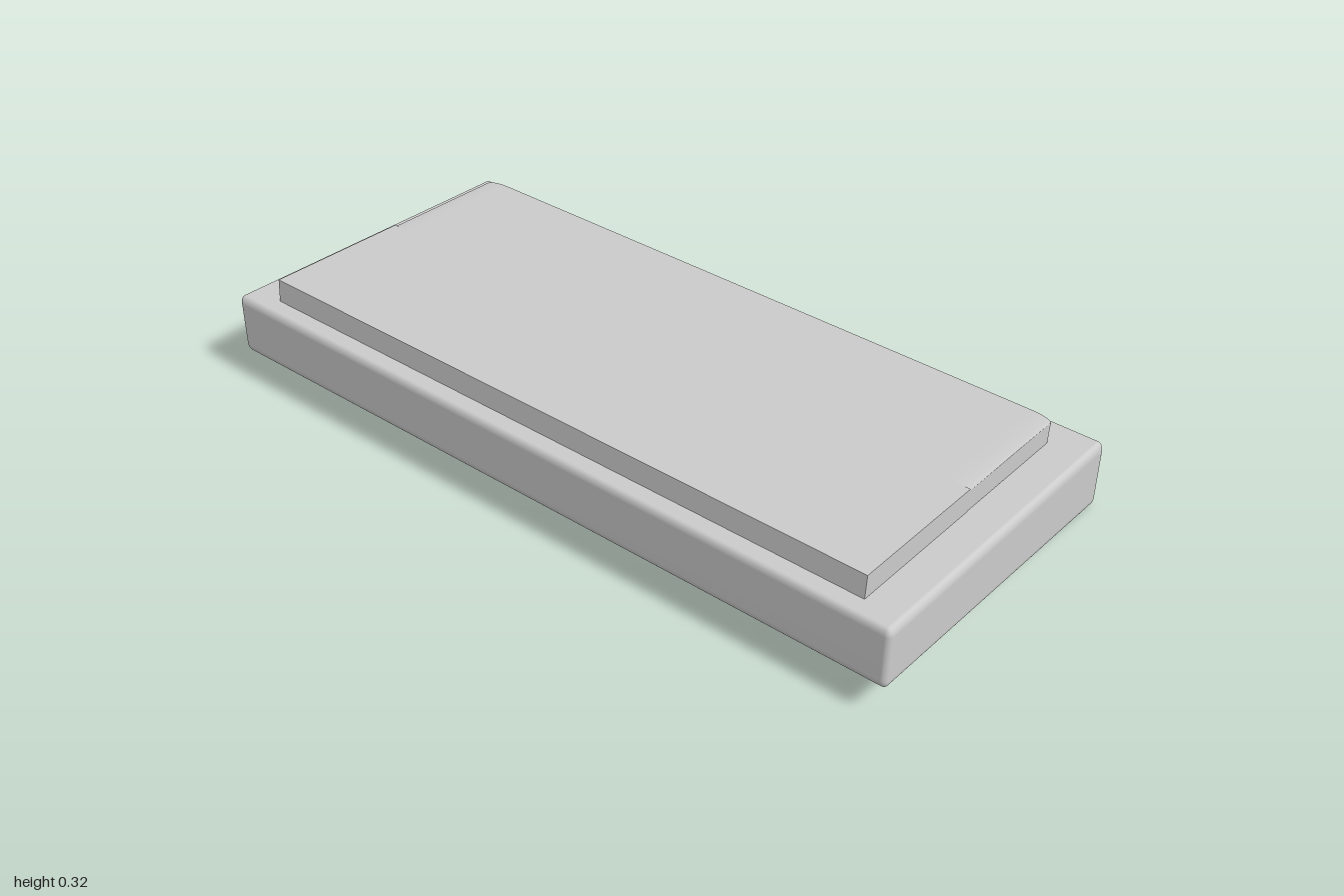
import * as THREE from 'three';
import { mergeVertices } from 'three/addons/utils/BufferGeometryUtils.js';
import { RoundedBoxGeometry } from 'three/addons/geometries/RoundedBoxGeometry.js';

const material = new THREE.MeshStandardMaterial({ color: 0xcccccc });

function addMesh(parent, name, geometry) {
  const mesh = new THREE.Mesh(geometry, material);
  mesh.name = name;
  parent.add(mesh);
  return mesh;
}

// Rounded slab whose height tapers between two sloping planes
function bodyGeometry() {
  const h = 0.11;
  let geo = new RoundedBoxGeometry(0.936, h, 2, 5, 0.015);
  const p = geo.attributes.position;
  for (let i = 0; i < p.count; i++) {
    const x = p.getX(i);
    const bottom = 0.045 - 0.097 * x;
    const top = 0.227 - 0.0735 * x;
    p.setY(i, THREE.MathUtils.lerp(bottom, top, p.getY(i) / h + 0.5));
  }
  geo.deleteAttribute('normal');
  geo.deleteAttribute('uv');
  geo = mergeVertices(geo, 1e-5);
  geo.computeVertexNormals();
  return geo;
}

// Half panel with softly rounded outer edges, cut flat at x = 0
function roundedHalfGeometry(width, height, depth) {
  const r = 0.02, sy = 0.25, sz = 3;
  const geo = new RoundedBoxGeometry(width + r, height / sy, depth / sz, 5, r);
  geo.scale(1, sy, sz);
  geo.translate((width - r) / 2, 0, 0);
  const p = geo.attributes.position;
  for (let i = 0; i < p.count; i++) p.setX(i, Math.max(0, p.getX(i)));
  return geo;
}

// Slanted foot with a flared root, extruded along z
function footGeometry() {
  const b = 0.005, depth = 0.17;
  const s = new THREE.Shape();
  s.moveTo(-0.208, 0.08);
  s.lineTo(-0.32, 0.09);
  s.lineTo(-0.312, 0.076);
  s.quadraticCurveTo(-0.29, 0.062, -0.303, 0.052);
  s.lineTo(-0.334, 0.021);
  s.lineTo(-0.266, 0.014);
  s.lineTo(-0.222, 0.064);
  s.closePath();
  const geo = new THREE.ExtrudeGeometry(s, {
    depth, bevelEnabled: true, bevelSize: b, bevelThickness: b, bevelSegments: 3, curveSegments: 8,
  });
  geo.translate(0, 0, -depth / 2);
  return geo;
}

export function createModel() {
  const model = new THREE.Group();
  model.name = 'slopedTray';

  addMesh(model, 'body', bodyGeometry());

  // Raised panel: square-edged half and rounded half meeting at a seam
  const panel = new THREE.Group();
  panel.name = 'panel';
  panel.position.set(-0.0145, 0.258, 0);
  panel.rotation.z = -Math.atan(0.0735);
  const seam = 0.014, half = 0.4, height = 0.066, depth = 1.8;
  addMesh(panel, 'squarePanelHalf', new THREE.BoxGeometry(half + seam, height, depth))
    .position.x = (seam - half) / 2;
  addMesh(panel, 'roundedPanelHalf', roundedHalfGeometry(half - seam, height, depth))
    .position.x = seam;
  model.add(panel);

  // Pair of feet under the raised side
  for (const [name, z] of [['frontFoot', 0.365], ['backFoot', -0.365]]) {
    addMesh(model, name, footGeometry()).position.z = z;
  }
  return model;
}
